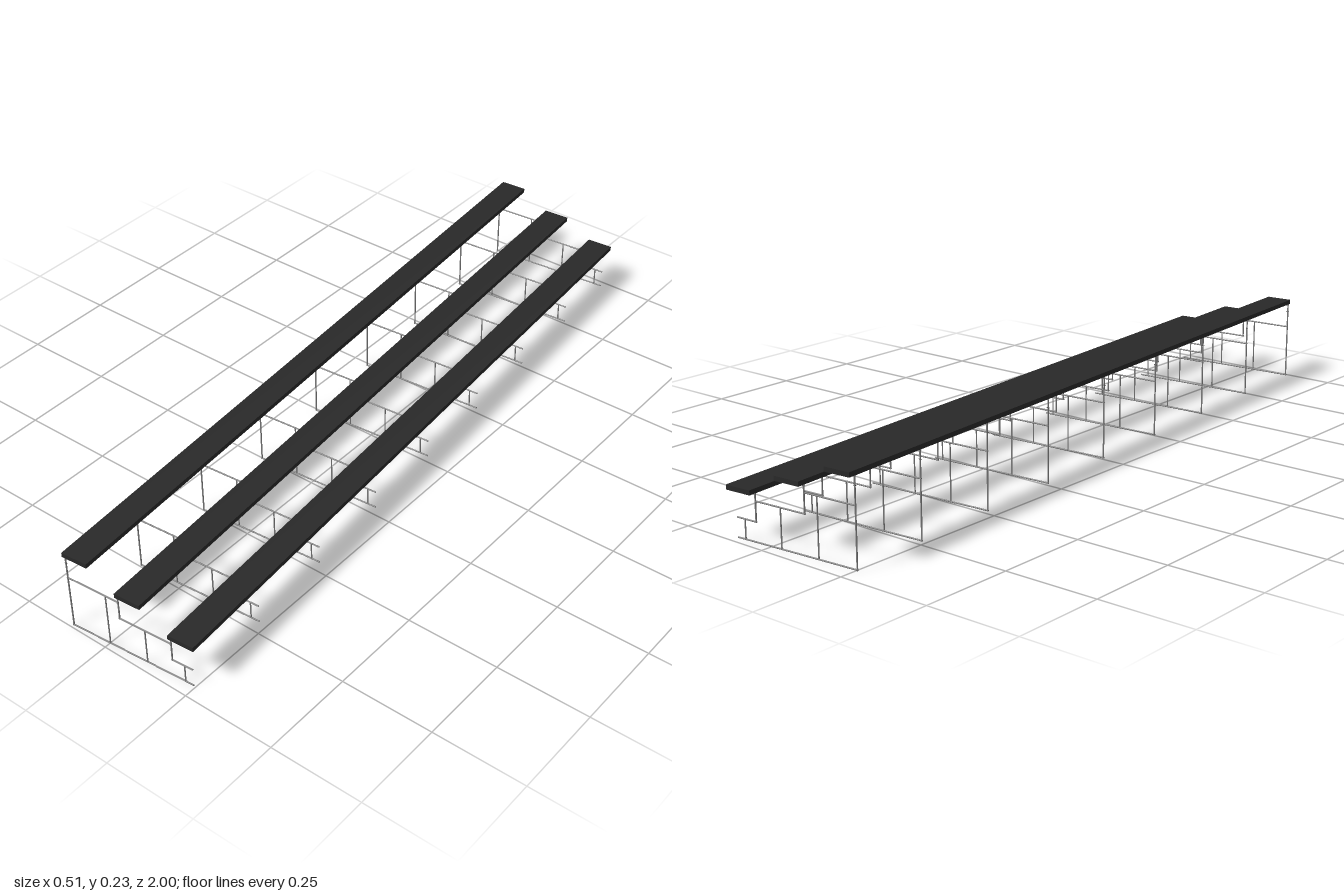
import * as THREE from 'three';

export function createModel() {
  const root = new THREE.Group();
  root.name = 'bleacherStand';
  const stand = new THREE.Group();
  stand.name = 'bleacher';
  stand.rotation.y = THREE.MathUtils.degToRad(4.25); // sits slightly askew
  root.add(stand);

  const plankMat = new THREE.MeshStandardMaterial({ color: 0x292929 });
  plankMat.name = 'dark plank';
  const steelMat = new THREE.MeshStandardMaterial({ color: 0x808080 });
  steelMat.name = 'grey steel';

  const R = 0.002; // tube radius
  const BEND = 0.007; // radius of the rail bends
  const STEP = 0.0495; // height of one step

  // Three stepped seat planks
  const rows = [0, 1, 2].map(i => ({ x: -0.184 + i * 0.148, top: 0.23 - i * STEP }));
  for (const { x, top } of rows) {
    const plank = new THREE.Mesh(new THREE.BoxGeometry(0.072, 0.012, 1.978), plankMat);
    plank.position.set(x + 0.036, top - 0.006, 0);
    plank.name = 'seatPlank';
    stand.add(plank);
  }

  // Straight round tube between two points in the frame's plane
  function tube(parent, name, x0, y0, x1, y1, radius = R, mat = steelMat) {
    const length = Math.hypot(x1 - x0, y1 - y0);
    const mesh = new THREE.Mesh(new THREE.CylinderGeometry(radius, radius, length, 10), mat);
    mesh.position.set((x0 + x1) / 2, (y0 + y1) / 2, 0);
    mesh.rotation.z = Math.atan2(y1 - y0, x1 - x0) - Math.PI / 2;
    mesh.name = name;
    parent.add(mesh);
  }

  // One stepped support frame
  function makeFrame() {
    const frame = new THREE.Group();
    frame.name = 'supportFrame';
    tube(frame, 'floorBar', -0.1835, R, 0.1725, R);
    rows.forEach(({ x, top }, i) => {
      const seatY = top - 0.012 - R;
      const railY = 0.1495 - i * STEP;
      const legX = x + 0.0025;
      // upright, bar under the plank, step rail and the post below it
      tube(frame, 'upright', legX, i === 0 ? 0 : railY - R, legX, seatY + R);
      tube(frame, 'seatBar', legX - R, seatY, x + 0.06, seatY);
      const nextX = legX + 0.148;
      tube(frame, 'stepRail', legX - R, railY, i < 2 ? nextX - BEND : 0.1725, railY);
      if (i < 2) {
        // rail turns down into the next upright
        const bend = new THREE.QuadraticBezierCurve3(
          new THREE.Vector3(nextX - BEND, railY, 0),
          new THREE.Vector3(nextX, railY, 0),
          new THREE.Vector3(nextX, railY - BEND, 0));
        const mesh = new THREE.Mesh(new THREE.TubeGeometry(bend, 6, R, 10), steelMat);
        mesh.name = 'railBend';
        frame.add(mesh);
      }
      const postX = -0.071 + i * 0.11;
      tube(frame, 'floorPost', postX, R, postX, railY, 0.0018);
    });
    // small bolt through the rear upright
    tube(frame, 'bolt', -0.185, 0.195, -0.178, 0.195, 0.001, plankMat);
    return frame;
  }

  // Nine frames, the rearmost set in a little from the plank ends
  for (let i = 0; i < 9; i++) {
    const frame = makeFrame();
    frame.position.z = i < 8 ? 0.981 - i * 0.247 : -0.969;
    stand.add(frame);
  }
  return root;
}
